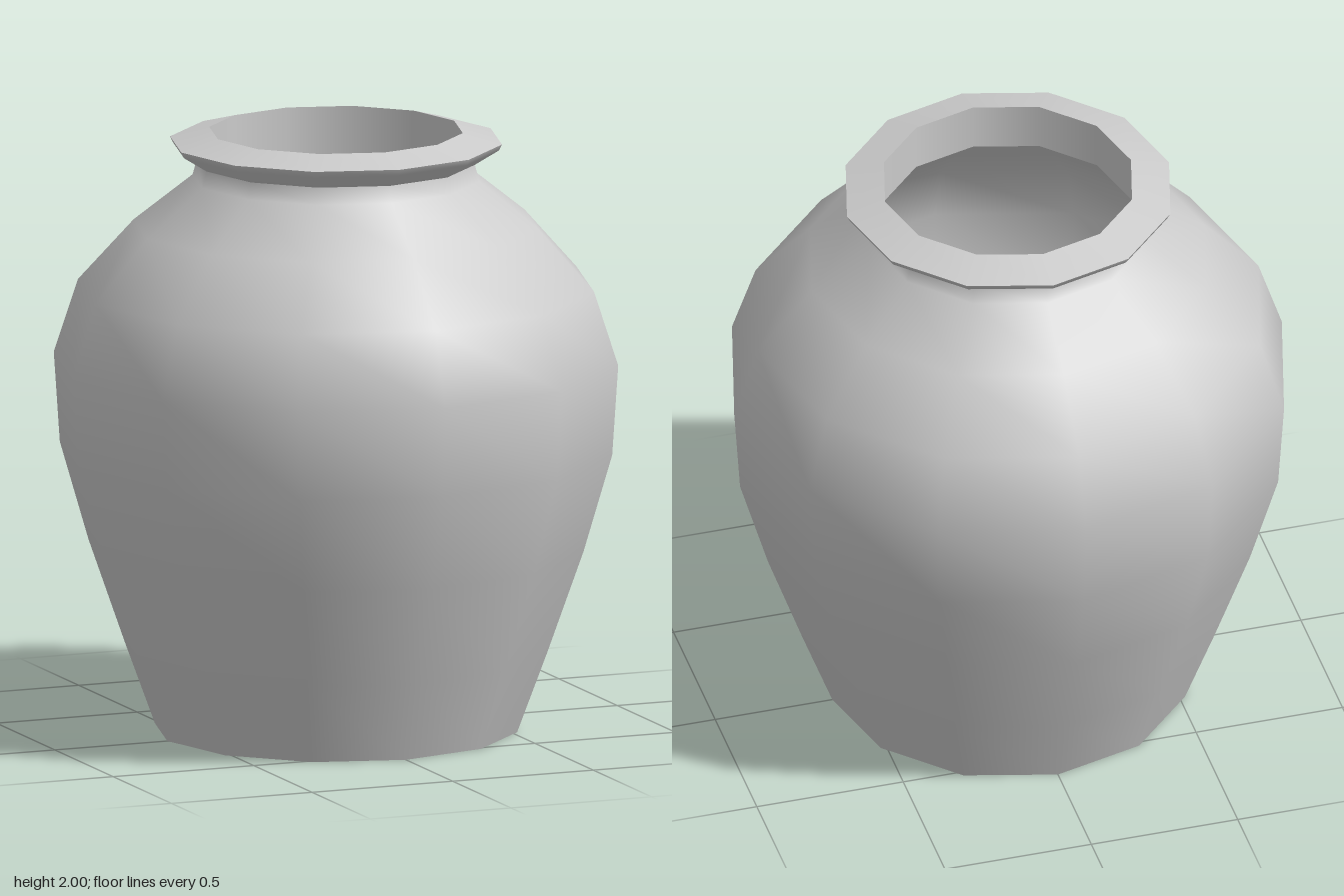
import * as THREE from 'three';

const SIDES = 12;
const material = new THREE.MeshStandardMaterial({ color: 0xcccccc });

// Each profile runs base -> outside -> rim -> inside -> floor, so faces point outwards.
// Separate profiles keep the creases between them sharp.
const profiles = {
  base: [[0, 0], [0.6, 0]],
  body: [[0.6, 0], [0.7, 0.27], [0.82, 0.61], [0.915, 0.935], [0.935, 1.235],
    [0.855, 1.48], [0.67, 1.685], [0.475, 1.84], [0.46, 1.895]],
  rimUnderside: [[0.46, 1.895], [0.54, 1.945], [0.55, 1.965]],
  rimTop: [[0.55, 1.965], [0.42, 2]],
  innerNeck: [[0.42, 2], [0.42, 1.84]],
  innerWall: [[0.42, 1.84], [0.62, 1.66], [0.8, 1.46], [0.88, 1.235], [0.86, 0.935],
    [0.77, 0.61], [0.65, 0.27], [0.57, 0.05]],
  innerFloor: [[0.57, 0.05], [0, 0.05]],
};

export function createModel() {
  const jar = new THREE.Group();
  jar.name = 'jar';
  for (const [name, points] of Object.entries(profiles)) {
    const outline = points.map(([r, y]) => new THREE.Vector2(r, y));
    const mesh = new THREE.Mesh(new THREE.LatheGeometry(outline, SIDES), material);
    mesh.name = name;
    jar.add(mesh);
  }
  return jar;
}
